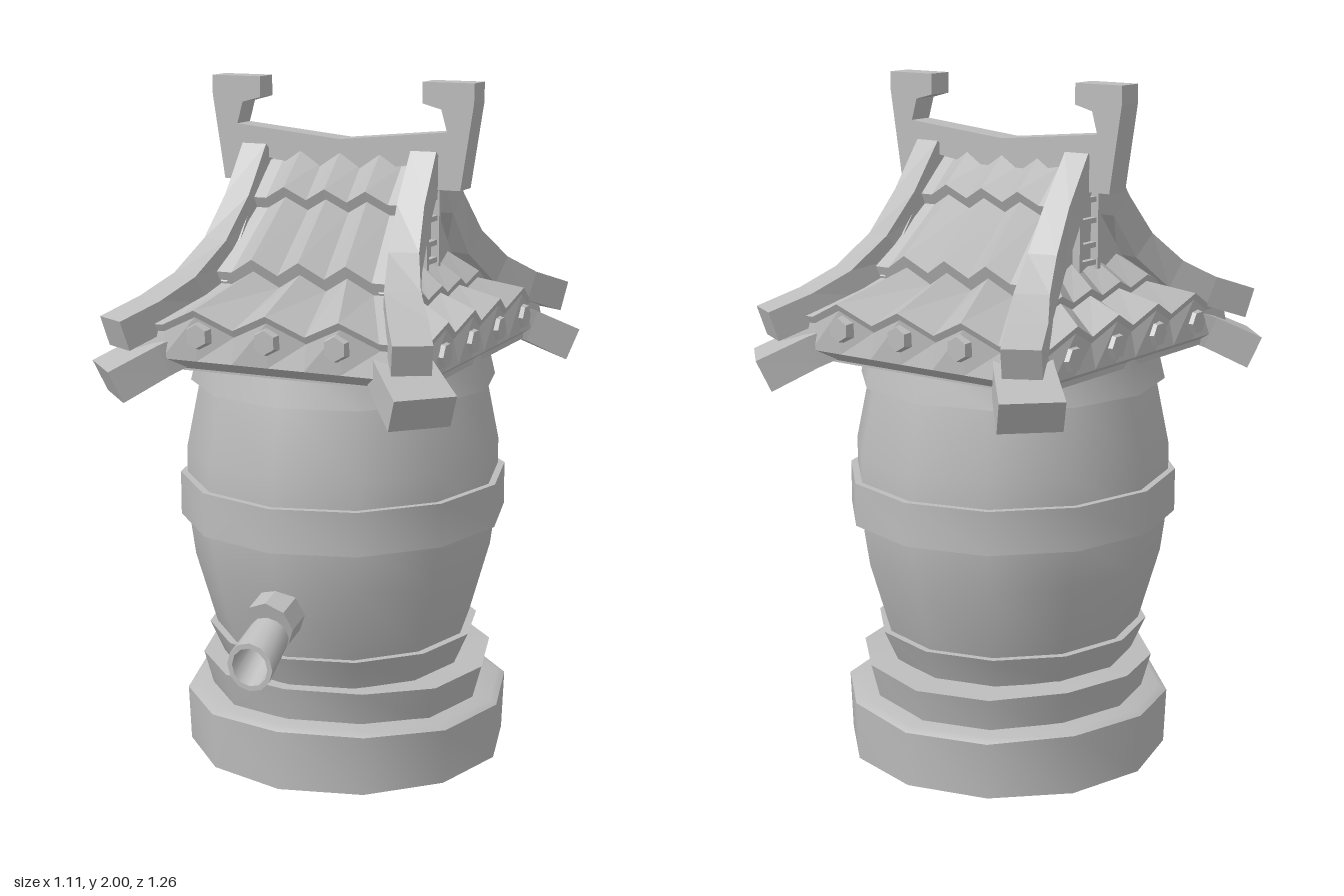
import * as THREE from 'three';
import { toCreasedNormals } from 'three/addons/utils/BufferGeometryUtils.js';

const V = (x, y, z) => new THREE.Vector3(x, y, z);

// indexed geometry from a list of points and a list of indices
function build(points, index) {
  const g = new THREE.BufferGeometry().setFromPoints(points);
  g.setIndex(index);
  return g;
}

// flat-shaded copy
function flat(g) {
  const f = g.index ? g.toNonIndexed() : g;
  f.computeVertexNormals();
  return f;
}

// rows of [z, y, halfWidth, waveHeight] joined into a sheet of folded tiles;
// the outermost columns dip so they tuck under the hip beams
function tileSheet(rows, half, parity) {
  const pts = [], idx = [], n = half * 2 + 1;
  rows.forEach(([z, y, w, amp], r) => {
    for (let c = -half; c <= half; c++) {
      const raised = Math.abs(c) < half && (Math.abs(c) + parity) % 2 === 0;
      const wave = raised ? amp : -amp;
      pts.push(V((w * c) / half, y + wave, z + wave * 0.4));
    }
    if (r === 0) return;
    for (let c = 0; c < n - 1; c++) {
      const a = (r - 1) * n + c, b = a + n;
      idx.push(a, b, a + 1, a + 1, b, b + 1);
    }
  });
  return flat(build(pts, idx));
}

// rectangular beam swept along a path of [x, y, z, width, height], mirrored by sx, sz
function beam(path, sx, sz) {
  const p = path.map(([x, y, z]) => V(x, y, z)), pts = [], idx = [];
  p.forEach((q, i) => {
    const t = p[Math.min(i + 1, p.length - 1)].clone().sub(p[Math.max(i - 1, 0)]).normalize();
    const s = V(0, 1, 0).cross(t).normalize(), u = t.clone().cross(s);
    const [w, h] = [path[i][3] / 2, path[i][4] / 2];
    for (const [a, b] of [[-1, -1], [1, -1], [1, 1], [-1, 1]]) {
      pts.push(q.clone().addScaledVector(s, a * w).addScaledVector(u, b * h));
    }
    if (i === 0) return;
    for (let j = 0; j < 4; j++) {
      const a = (i - 1) * 4 + j, b = (i - 1) * 4 + (j + 1) % 4;
      idx.push(a, b, a + 4, b, b + 4, a + 4);
    }
  });
  const e = (p.length - 1) * 4;
  idx.push(0, 2, 1, 0, 3, 2, e, e + 1, e + 2, e, e + 2, e + 3);
  if (sx * sz < 0) idx.reverse();
  return flat(build(pts.map((q) => q.multiply(V(sx, 1, sz))), idx));
}

// lathe with an optionally oval plan
function lathe(profile, sides, crease = 0.6, depth = 1) {
  const g = new THREE.LatheGeometry(profile.map(([r, y]) => new THREE.Vector2(r, y)), sides);
  return toCreasedNormals(g.scale(1, 1, depth), crease);
}

function extrude(points, depth) {
  const shape = new THREE.Shape(points.map(([x, y]) => new THREE.Vector2(x, y)));
  const g = new THREE.ExtrudeGeometry(shape, { depth, bevelEnabled: false });
  return g.translate(0, 0, -depth / 2);
}

export function createModel() {
  const model = new THREE.Group();
  const grey = new THREE.MeshStandardMaterial({ color: 0xbcbcbc });
  const add = (name, geometry, parent = model) => {
    const m = new THREE.Mesh(geometry, grey);
    m.name = name;
    parent.add(m);
    return m;
  };
  const group = (name) => {
    const g = new THREE.Group();
    g.name = name;
    model.add(g);
    return g;
  };

  // uneven stone base in two steps
  const wobble = (g, floor) => {
    const p = g.attributes.position;
    for (let i = 0; i < p.count; i++) {
      const a = Math.atan2(p.getX(i), p.getZ(i));
      if (p.getY(i) > floor) p.setY(i, p.getY(i) + 0.008 * Math.sin(3 * a + 1));
    }
    return toCreasedNormals(g, 0.6);
  };
  add('baseStone', wobble(lathe([[0, 0], [0.48, 0], [0.487, 0.172], [0.465, 0.185], [0.3, 0.185]], 12), 0.1))
    .position.z = -0.02;
  add('upperStone', wobble(lathe([[0.405, 0.16], [0.438, 0.285], [0.3, 0.29]], 12), 0.2)).position.z = -0.02;

  // barrel and its hoops
  const barrel = group('barrelBody');
  barrel.position.z = 0.005;
  add('barrel', lathe([[0.33, 0.26], [0.38, 0.39], [0.44, 0.6], [0.46, 0.75], [0.46, 0.93], [0.42, 1.13],
    [0.4, 1.23]], 12, 0.8, 1.05), barrel);
  add('lowerHoop', lathe([[0.34, 0.29], [0.36, 0.29], [0.402, 0.385], [0.37, 0.385]], 12, 0.6, 1.04), barrel);
  add('middleHoop', lathe([[0.44, 0.725], [0.48, 0.725], [0.48, 0.853], [0.44, 0.853]], 12, 0.6, 1.05), barrel);
  add('upperHoop', lathe([[0.41, 1.13], [0.449, 1.13], [0.425, 1.23]], 12, 0.6, 1.02), barrel);

  // spout with an octagonal collar and an upright, hollow mouth
  const tap = group('tap');
  const collar = add('tapCollar', flat(new THREE.CylinderGeometry(0.076, 0.076, 0.08, 8)), tap);
  collar.position.set(0, 0.522, 0.474);
  collar.rotation.x = Math.PI / 2 + 0.26;
  const spout = lathe([[0.056, 0], [0.07, 0.17], [0.055, 0.17], [0.045, 0.06], [0, 0.06]], 12);
  spout.rotateX(Math.PI / 2);
  const sp = spout.attributes.position;
  for (let i = 0; i < sp.count; i++) sp.setY(i, sp.getY(i) - 0.45 * sp.getZ(i));
  add('tapSpout', toCreasedNormals(spout, 0.7), tap).position.set(0, 0.506, 0.46);

  // stepped tile slopes and side skirts, ending in the eave board
  const roof = group('roof');
  const slope = [[0, 1.78, 0.25, 0.015], [0.03, 1.775, 0.25, 0.015], [0.135, 1.68, 0.255, 0.018],
    [0.122, 1.65, 0.255, 0.018], [0.305, 1.49, 0.29, 0.022], [0.292, 1.455, 0.29, 0.022],
    [0.51, 1.37, 0.44, 0.026], [0.5, 1.35, 0.44, 0.026], [0.505, 1.25, 0.44, 0], [0.44, 1.21, 0.42, 0]];
  const skirt = [[0.25, 1.485, 0.28, 0.01], [0.33, 1.42, 0.36, 0.015], [0.325, 1.4, 0.36, 0.015],
    [0.438, 1.355, 0.5, 0.024], [0.432, 1.335, 0.5, 0.024], [0.438, 1.24, 0.5, 0], [0.4, 1.21, 0.44, 0]];
  for (const s of [1, -1]) {
    const turn = s > 0 ? 0 : Math.PI;
    add('roofSlope', tileSheet(slope, 4, 0), roof).rotation.y = turn;
    add('sideSkirt', tileSheet(skirt, 5, 1), roof).rotation.y = turn + Math.PI / 2;

    // gable wall with a barred window
    const wall = add('gableWall', extrude([[-0.29, 1.44], [0.29, 1.44], [0.13, 1.65], [0.03, 1.78],
      [-0.03, 1.78], [-0.13, 1.65]], 0.02), roof);
    wall.rotation.y = Math.PI / 2;
    wall.position.x = s * 0.245;
    for (const z of [-0.045, 0.045]) {
      add('windowPost', new THREE.BoxGeometry(0.03, 0.22, 0.015), roof).position.set(s * 0.265, 1.58, z);
    }
    for (const y of [1.49, 1.54, 1.61, 1.67]) {
      add('windowBar', new THREE.BoxGeometry(0.022, 0.015, 0.09), roof).position.set(s * 0.263, y, 0);
    }

    // eave studs
    for (const x of [-0.21, 0, 0.21]) {
      const stud = add('eaveStud', flat(new THREE.CylinderGeometry(0.034, 0.042, 0.03, 6)), roof);
      stud.position.set(x, 1.325, s * 0.512);
      stud.rotation.x = s * Math.PI / 2;
    }
    for (const z of [-0.315, -0.105, 0.105, 0.315]) {
      const stud = add('eaveStud', flat(new THREE.CylinderGeometry(0.034, 0.042, 0.03, 6)), roof);
      stud.position.set(s * 0.438, 1.29, z);
      stud.rotation.z = -s * Math.PI / 2;
    }

    // curved hip beams and the heavier corner stubs below them
    for (const sz of [1, -1]) {
      add('hipBeam', beam([[0.265, 1.785, 0.02, 0.078, 0.08], [0.268, 1.645, 0.12, 0.08, 0.085],
        [0.285, 1.52, 0.22, 0.085, 0.09], [0.325, 1.425, 0.335, 0.1, 0.09], [0.385, 1.365, 0.44, 0.11, 0.09],
        [0.449, 1.32, 0.557, 0.108, 0.09]], s, sz), roof);
      add('cornerStub', beam([[0.3, 1.29, 0.36, 0.15, 0.09], [0.38, 1.245, 0.455, 0.165, 0.095],
        [0.478, 1.18, 0.553, 0.178, 0.1]], s, sz), roof);
    }
  }
  add('soffit', new THREE.BoxGeometry(0.84, 0.02, 0.9), roof).position.y = 1.22;

  // sagging ridge beam with upturned hooked ends
  const half = [[0, 1.83], [0.33, 1.862], [0.312, 1.925], [0.255, 1.94], [0.255, 2], [0.41, 2],
    [0.41, 1.945], [0.372, 1.7], [0.29, 1.7], [0.27, 1.775], [0.12, 1.75]];
  const mirrored = half.slice(1).map(([x, y]) => [-x, y]).reverse();
  add('ridgeBeam', extrude([...half, ...mirrored], 0.08), roof).position.z = -0.005;

  return model;
}
